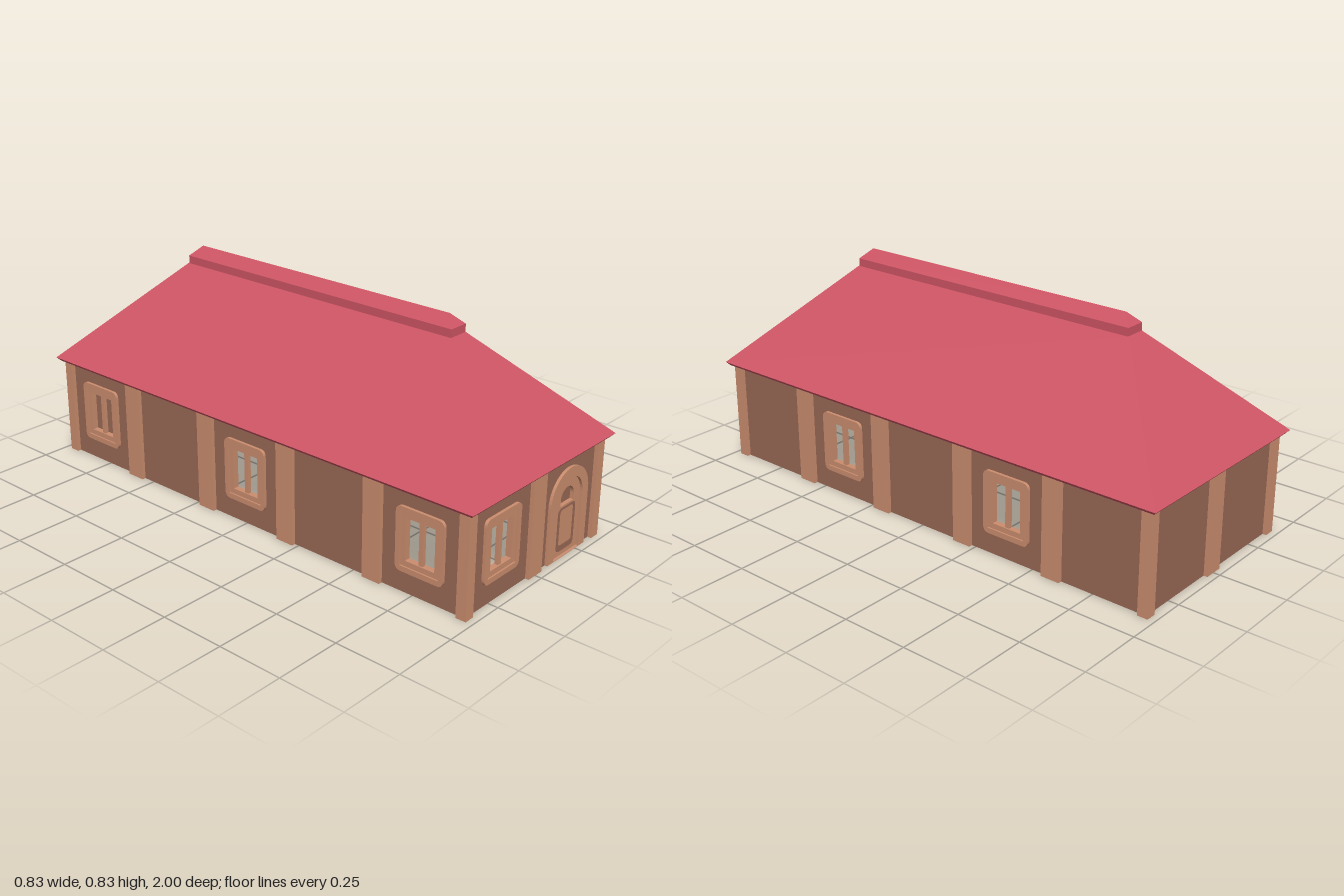
import * as THREE from 'three';

const mat = (name, color) => new THREE.MeshStandardMaterial({ name, color });

// Rectangle outline with optional rounded corners, centred on cx
function rect(Kind, cx, half, y0, y1, r = 0) {
  const p = new Kind();
  const a = cx - half, b = cx + half;
  p.moveTo(a + r, y0);
  p.lineTo(b - r, y0);
  if (r) p.quadraticCurveTo(b, y0, b, y0 + r);
  p.lineTo(b, y1 - r);
  if (r) p.quadraticCurveTo(b, y1, b - r, y1);
  p.lineTo(a + r, y1);
  if (r) p.quadraticCurveTo(a, y1, a, y1 - r);
  p.lineTo(a, y0 + r);
  if (r) p.quadraticCurveTo(a, y0, a + r, y0);
  return p;
}

// Round-topped outline
function arch(Kind, cx, half, y0, top) {
  const p = new Kind();
  p.moveTo(cx - half, y0);
  p.lineTo(cx + half, y0);
  p.lineTo(cx + half, top - half);
  p.absarc(cx, top - half, half, 0, Math.PI, false);
  p.lineTo(cx - half, y0);
  return p;
}

// Flat panel with holes, spanning z0..z1
function panel(name, shape, holes, z0, z1, material) {
  shape.holes.push(...holes);
  const geo = new THREE.ExtrudeGeometry(shape, { depth: z1 - z0, bevelEnabled: false, curveSegments: 12 });
  geo.translate(0, 0, z0);
  const mesh = new THREE.Mesh(geo, material);
  mesh.name = name;
  return mesh;
}

function box(name, w, h, d, x, y, z, material) {
  const mesh = new THREE.Mesh(new THREE.BoxGeometry(w, h, d), material);
  mesh.name = name;
  mesh.position.set(x, y, z);
  return mesh;
}

// Solid through rectangular rings [halfX, halfZ, y] from bottom to top
function hipSolid(name, rings, material) {
  const pos = [];
  const corners = rings.map(([x, z, y]) => [[-x, y, z], [x, y, z], [x, y, -z], [-x, y, -z]]);
  const quad = (a, b, c, d) => pos.push(...a, ...b, ...c, ...a, ...c, ...d);
  for (let i = 0; i < corners.length - 1; i++) {
    for (let k = 0; k < 4; k++) {
      const n = (k + 1) % 4;
      quad(corners[i][k], corners[i][n], corners[i + 1][n], corners[i + 1][k]);
    }
  }
  const lo = corners[0], hi = corners[corners.length - 1];
  quad(lo[3], lo[2], lo[1], lo[0]);
  quad(hi[0], hi[1], hi[2], hi[3]);
  const geo = new THREE.BufferGeometry();
  geo.setAttribute('position', new THREE.Float32BufferAttribute(pos, 3));
  geo.computeVertexNormals();
  const mesh = new THREE.Mesh(geo, material);
  mesh.name = name;
  return mesh;
}

export function createModel() {
  const house = new THREE.Group();
  house.name = 'house';
  const wallMat = mat('wallBrown', 0x996854);
  const trimMat = mat('trimTan', 0xcb8d6e);
  const roofMat = mat('roofRed', 0xce5564);
  const H = 0.378;

  // Rounded surround, inner frame and mullion around an open window
  function windowUnit(cx) {
    const g = new THREE.Group();
    g.name = 'window';
    g.add(
      panel('windowSurround', rect(THREE.Shape, cx, 0.097, 0.08, 0.315, 0.025),
        [rect(THREE.Path, cx, 0.078, 0.1, 0.295)], -0.024, 0.011, trimMat),
      panel('windowFrame', rect(THREE.Shape, cx, 0.078, 0.1, 0.295),
        [rect(THREE.Path, cx, 0.059, 0.12, 0.275)], -0.018, 0.005, trimMat),
      box('mullion', 0.017, 0.155, 0.014, cx, 0.1975, -0.007, trimMat));
    return g;
  }

  // Arched door with a half-round light and a lower panel moulding
  function doorUnit(cx) {
    const g = new THREE.Group();
    g.name = 'door';
    g.add(
      panel('doorSurround', arch(THREE.Shape, cx, 0.115, 0, 0.33),
        [arch(THREE.Path, cx, 0.078, 0.002, 0.293)], -0.024, 0.011, trimMat),
      panel('doorLeaf', arch(THREE.Shape, cx, 0.078, 0.002, 0.293),
        [arch(THREE.Path, cx, 0.04, 0.192, 0.255)], -0.014, 0.001, trimMat),
      panel('doorMoulding', rect(THREE.Shape, cx, 0.052, 0.02, 0.186, 0.02),
        [rect(THREE.Path, cx, 0.041, 0.042, 0.178, 0.015)], 0.001, 0.003, wallMat));
    return g;
  }

  // One wall: local x runs along it, local z points outward
  function side(name, half, dist, turn, posts, windows, doors = []) {
    const g = new THREE.Group();
    g.name = name;
    const holes = [
      ...windows.map((x) => rect(THREE.Path, x, 0.07, 0.108, 0.287)),
      ...doors.map((x) => arch(THREE.Path, x, 0.09, 0.002, 0.305)),
    ];
    g.add(panel('wall', rect(THREE.Shape, 0, half, 0, H), holes, -0.014, 0, wallMat));
    posts.forEach((x) => g.add(box('post', 0.075, H, 0.04, x, H / 2, -0.005, trimMat)));
    windows.forEach((x) => g.add(windowUnit(x)));
    doors.forEach((x) => g.add(doorUnit(x)));
    g.rotation.y = turn;
    g.position.set(Math.sin(turn) * dist, 0, Math.cos(turn) * dist);
    house.add(g);
  }

  const longPosts = [-0.585, -0.195, 0.195, 0.585];
  side('frontWall', 0.37, 0.96, 0, [0], [-0.195], [0.193]);
  side('backWall', 0.37, 0.96, Math.PI, [0], []);
  side('leftWall', 0.955, 0.375, Math.PI / 2, longPosts, [-0.39, 0.39]);
  side('rightWall', 0.955, 0.375, -Math.PI / 2, longPosts, [-0.78, 0, 0.78]);

  // Corner posts
  for (const x of [-0.37, 0.37]) {
    for (const z of [-0.955, 0.955]) house.add(box('cornerPost', 0.04, H, 0.04, x, H / 2, z, trimMat));
  }

  // Ceiling and its cross beams
  house.add(box('ceiling', 0.73, 0.006, 1.9, 0, 0.373, 0, wallMat));
  longPosts.forEach((z) => house.add(box('ceilingBeam', 0.73, 0.006, 0.02, 0, 0.368, z, wallMat)));

  // Hipped roof and ridge cap
  house.add(hipSolid('roof', [[0.4, 0.987, 0.376], [0.413, 1, 0.39], [0.038, 0.625, 0.767]], roofMat));
  house.add(hipSolid('ridgeCap', [[0.039, 0.622, 0.762], [0.039, 0.622, 0.796], [0.0005, 0.584, 0.834]], roofMat));
  return house;
}
